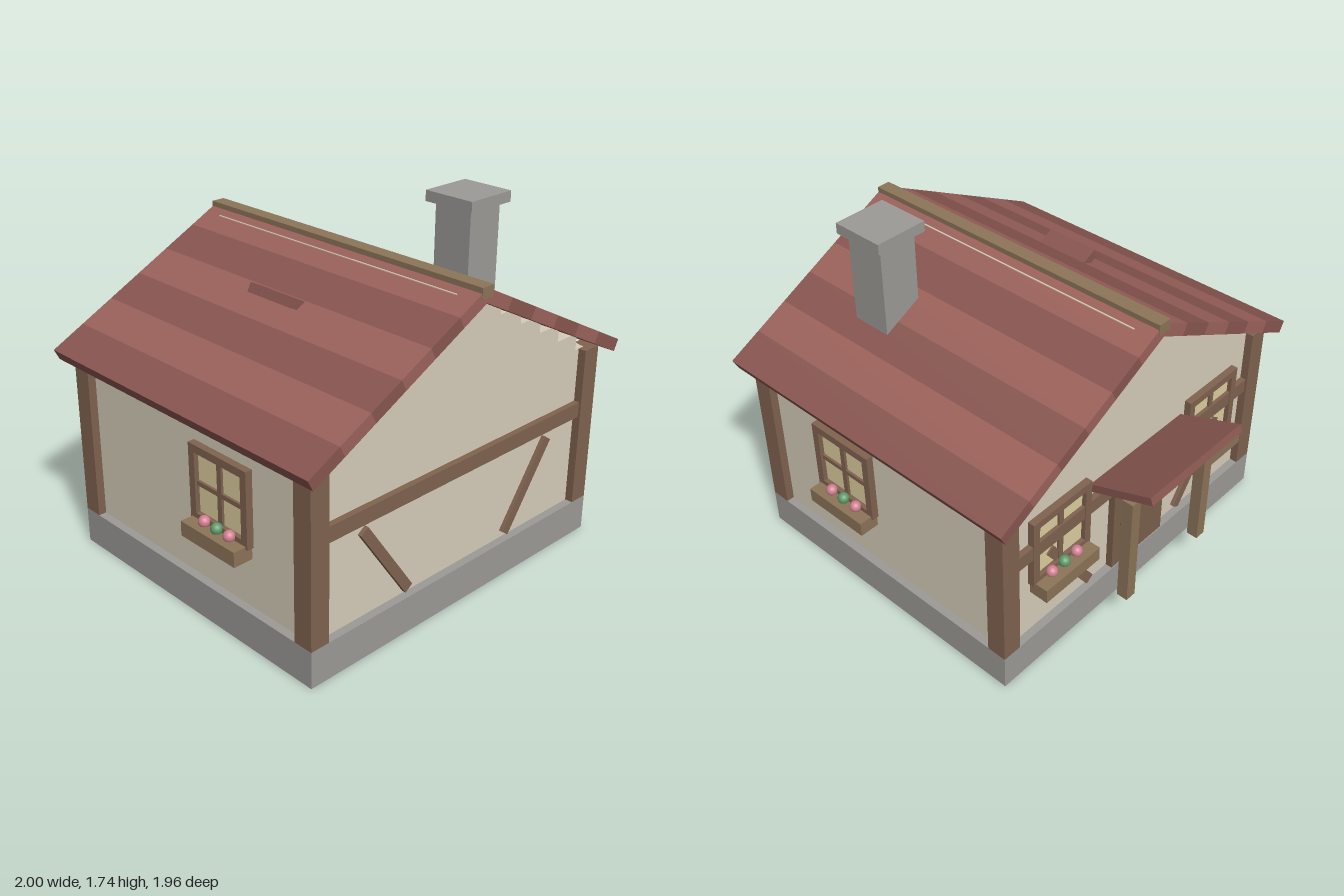
import * as THREE from 'three';

const mat = (color) => new THREE.MeshStandardMaterial({ color });
const M = {
  stone: mat(0x9c9a96), plaster: mat(0xd6cdba), timber: mat(0x806350), lightWood: mat(0x8c7458),
  roofLight: mat(0x9c625b), roofDark: mat(0x885650), glass: mat(0xddcf9f), door: mat(0x7a5f4b),
  metal: mat(0x55555a), pink: mat(0xd08090), green: mat(0x5f9a6a),
};

function add(parent, name, geometry, material, x, y, z, rx = 0, rz = 0) {
  const mesh = new THREE.Mesh(geometry, material);
  mesh.name = name;
  mesh.position.set(x, y, z);
  mesh.rotation.set(rx, 0, rz);
  parent.add(mesh);
  return mesh;
}
const box = (parent, name, material, [w, h, d], [x, y, z], rx, rz) =>
  add(parent, name, new THREE.BoxGeometry(w, h, d), material, x, y, z, rx, rz);

// Four-pane window with a flower box, facing +z, its back on z = 0
function createWindow() {
  const win = new THREE.Group();
  win.name = 'window';
  box(win, 'windowPanes', M.glass, [0.34, 0.34, 0.024], [0, 0, 0]);
  for (const s of [-1, 1]) {
    box(win, 'frameSide', M.timber, [0.038, 0.37, 0.05], [s * 0.169, 0, 0.01]);
    box(win, 'frameRail', M.timber, [0.3, 0.038, 0.05], [0, s * 0.166, 0.01]);
  }
  box(win, 'uprightBar', M.timber, [0.028, 0.3, 0.036], [0, 0, 0.006]);
  box(win, 'crossBar', M.timber, [0.3, 0.022, 0.036], [0, -0.002, 0.006]);
  box(win, 'flowerBox', M.lightWood, [0.355, 0.073, 0.1], [0, -0.208, 0.05]);
  for (const i of [-1, 0, 1]) {
    add(win, 'flower', new THREE.SphereGeometry(0.028, 16, 12), i ? M.pink : M.green,
      i * 0.083, -0.156, 0.045);
  }
  return win;
}

// Half of the roof, sloping down towards +x in bands of alternating colour
function createRoofSide() {
  const side = new THREE.Group();
  side.name = 'roofSide';
  const length = Math.hypot(1, 0.51), bands = 6, w = length / bands;
  for (let i = 0; i < bands; i++) {
    box(side, 'roofBand', i % 2 ? M.roofDark : M.roofLight, [w, 0.06, 1.72],
      [(i + 0.5) * w, -0.03, 0]);
  }
  side.rotation.z = -Math.atan(0.51);
  side.position.y = 1.53;
  return side;
}

export function createModel() {
  const model = new THREE.Group();
  model.name = 'cottage';
  const house = new THREE.Group();
  house.name = 'house';
  house.position.z = 0.12;
  model.add(house);

  // Plinth, walls and stepped gable
  box(house, 'plinth', M.stone, [1.86, 0.18, 1.6], [0, 0.09, 0]);
  box(house, 'walls', M.plaster, [1.78, 0.81, 1.52], [0, 0.585, 0]);
  for (let i = 0; i < 6; i++) {
    box(house, 'gableStep', M.plaster, [2 * (0.803 - i * 0.145), 0.084, 1.52],
      [0, 1.032 + i * 0.084, 0]);
  }

  // Timber frame: corner posts, cross beams and slanted braces
  for (const z of [-1, 1]) {
    for (const x of [-1, 1]) {
      box(house, 'cornerPost', M.timber, [0.1, 0.81, 0.1], [x * 0.88, 0.585, z * 0.75]);
      box(house, 'brace', M.timber, [0.05, 0.49, 0.04], [x * 0.47, 0.405, z * 0.76], 0, -x * 0.61);
    }
    box(house, 'crossBeam', M.timber, [1.66, 0.075, 0.05], [0, 0.683, z * 0.765]);
  }

  // Roof, ridge and raised hatch
  for (const turn of [0, Math.PI]) {
    const half = new THREE.Group();
    half.name = 'roofHalf';
    half.rotation.y = turn;
    half.add(createRoofSide());
    house.add(half);
  }
  box(house, 'ridgeBeam', M.lightWood, [0.07, 0.055, 1.724], [0, 1.51, 0]);
  box(house, 'roofHatch', M.roofDark, [0.14, 0.045, 0.275], [-0.358, 1.343, -0.003], 0, -0.47);

  // Chimney
  box(house, 'chimney', M.stone, [0.2, 0.56, 0.205], [0.47, 1.41, 0.345]);
  box(house, 'chimneyCap', M.stone, [0.27, 0.052, 0.27], [0.47, 1.714, 0.345]);

  // Windows on both sides and either side of the door
  const places = [
    [0.89, 0.22, Math.PI / 2], [-0.89, 0.22, -Math.PI / 2],
    [0.545, -0.76, Math.PI], [-0.545, -0.76, Math.PI],
  ];
  for (const [x, z, turn] of places) {
    const win = createWindow();
    win.position.set(x, 0.666, z);
    win.rotation.y = turn;
    house.add(win);
  }

  // Door and porch at the back
  box(house, 'door', M.door, [0.375, 0.57, 0.06], [0, 0.465, -0.765]);
  add(house, 'doorKnob', new THREE.SphereGeometry(0.02, 16, 12), M.metal, 0.12, 0.43, -0.805);
  box(house, 'porchRoof', M.roofDark, [0.655, 0.04, 0.36], [0, 0.83, -0.925], 0.36);
  for (const x of [-0.27, 0.27]) {
    box(house, 'porchPost', M.lightWood, [0.058, 0.595, 0.058], [x, 0.478, -0.948]);
  }
  return model;
}
